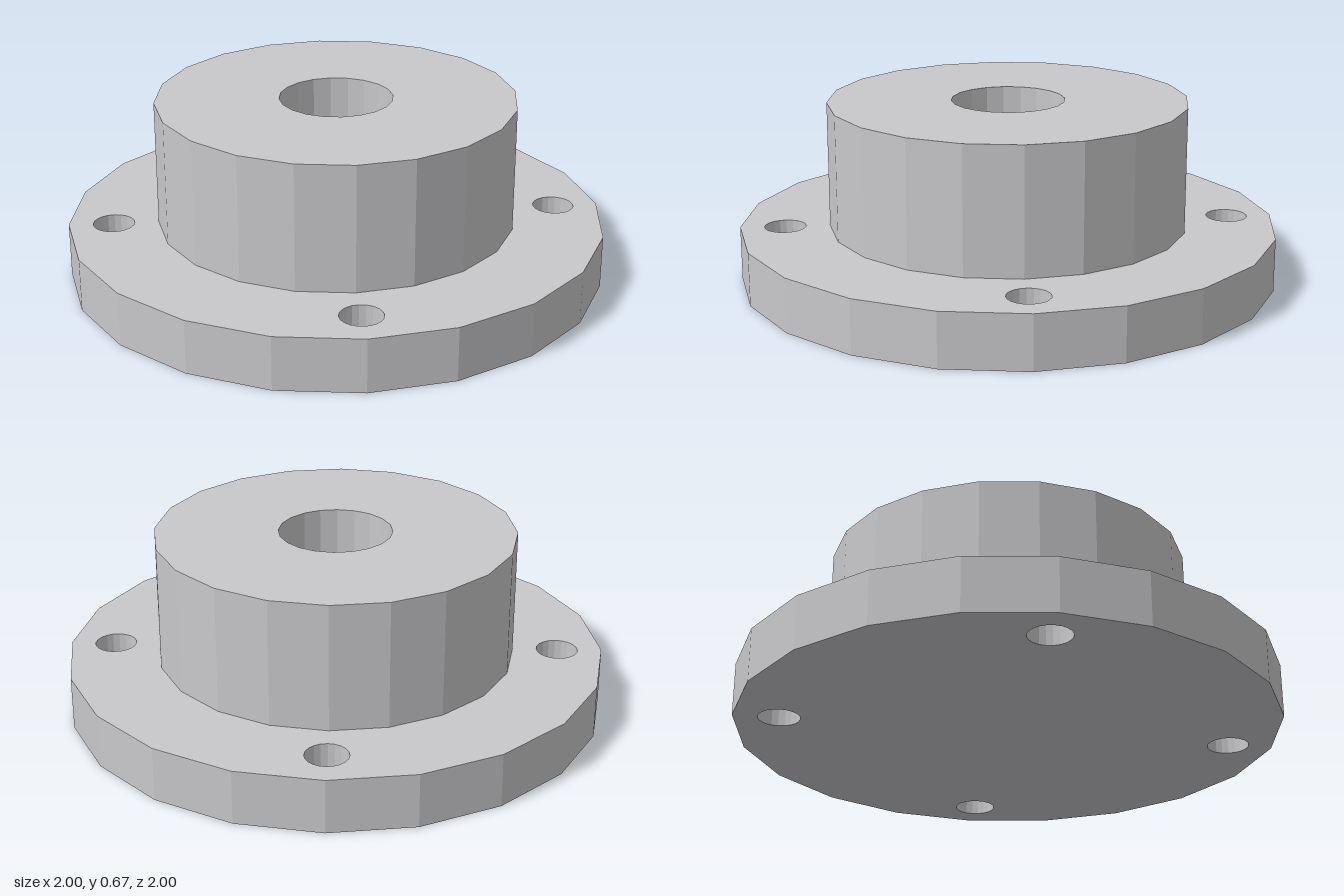
import * as THREE from 'three';

const SIDES = 20;

// Regular polygon points with a corner on the +x axis
function ring(cx, cy, r, n = SIDES) {
  return Array.from({ length: n }, (_, i) => {
    const a = (i / n) * Math.PI * 2;
    return new THREE.Vector2(cx + r * Math.cos(a), cy + r * Math.sin(a));
  });
}

export function createModel() {
  const group = new THREE.Group();
  group.name = 'flangedHub';

  const steel = new THREE.MeshStandardMaterial({ color: 0xc8c8cb });
  steel.name = 'steel grey';
  steel.flatShading = true;

  const flangeHeight = 0.2, hubTop = 0.67;
  const hubRadius = 0.667, boreRadius = 0.21;
  const boltCircle = 0.833, boltRadius = 0.077;

  // Base flange with four through bolt holes
  const outline = new THREE.Shape(ring(0, 0, 1));
  for (let i = 0; i < 4; i++) {
    const a = (i * Math.PI) / 2;
    outline.holes.push(new THREE.Path(ring(boltCircle * Math.cos(a), boltCircle * Math.sin(a), boltRadius)));
  }
  const flangeGeometry = new THREE.ExtrudeGeometry(outline, { depth: flangeHeight, bevelEnabled: false });
  flangeGeometry.rotateX(-Math.PI / 2);
  const flange = new THREE.Mesh(flangeGeometry, steel);
  flange.name = 'flange';
  group.add(flange);

  // Hub: outer wall, top face and blind bore; the flange closes the bore
  const profile = [
    [hubRadius, flangeHeight],
    [hubRadius, hubTop],
    [boreRadius, hubTop],
    [boreRadius, flangeHeight],
  ].map(([r, y]) => new THREE.Vector2(r, y));
  const hub = new THREE.Mesh(new THREE.LatheGeometry(profile, SIDES), steel);
  hub.name = 'hub';
  group.add(hub);

  return group;
}
